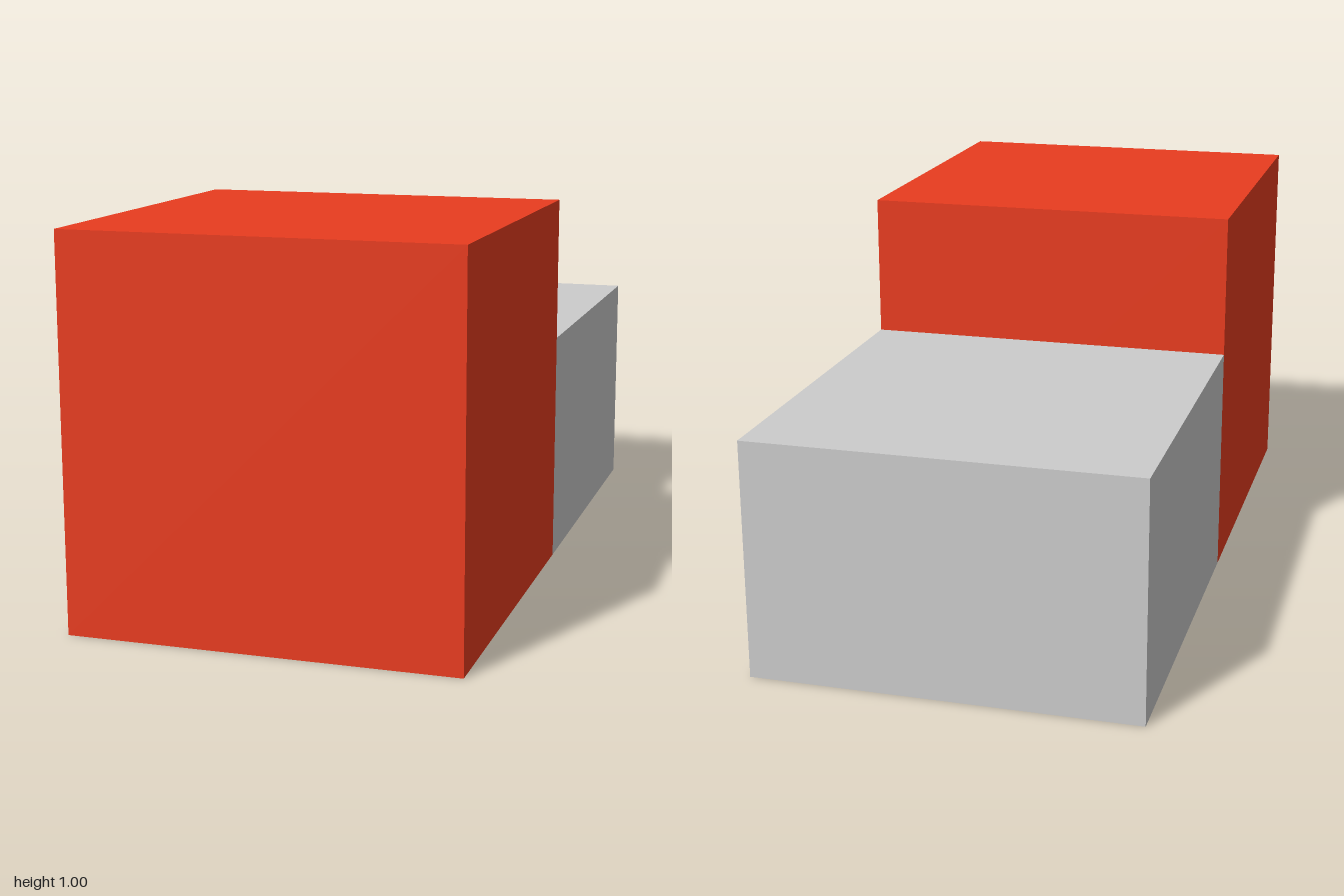
import * as THREE from 'three';

// Box standing on the ground, centred on x = 0
function block(name, width, height, depth, z, color) {
  const mesh = new THREE.Mesh(
    new THREE.BoxGeometry(width, height, depth),
    new THREE.MeshStandardMaterial({ color })
  );
  mesh.name = name;
  mesh.position.set(0, height / 2, z);
  return mesh;
}

export function createModel() {
  const model = new THREE.Group();
  model.name = 'steppedBlocks';
  // Tall red cube in front, lower grey block behind it
  model.add(block('frontCube', 1, 1, 1, 0.5, 0xe93c1f));
  model.add(block('rearBlock', 1, 0.62, 1, -0.5, 0xcccccc));
  return model;
}
